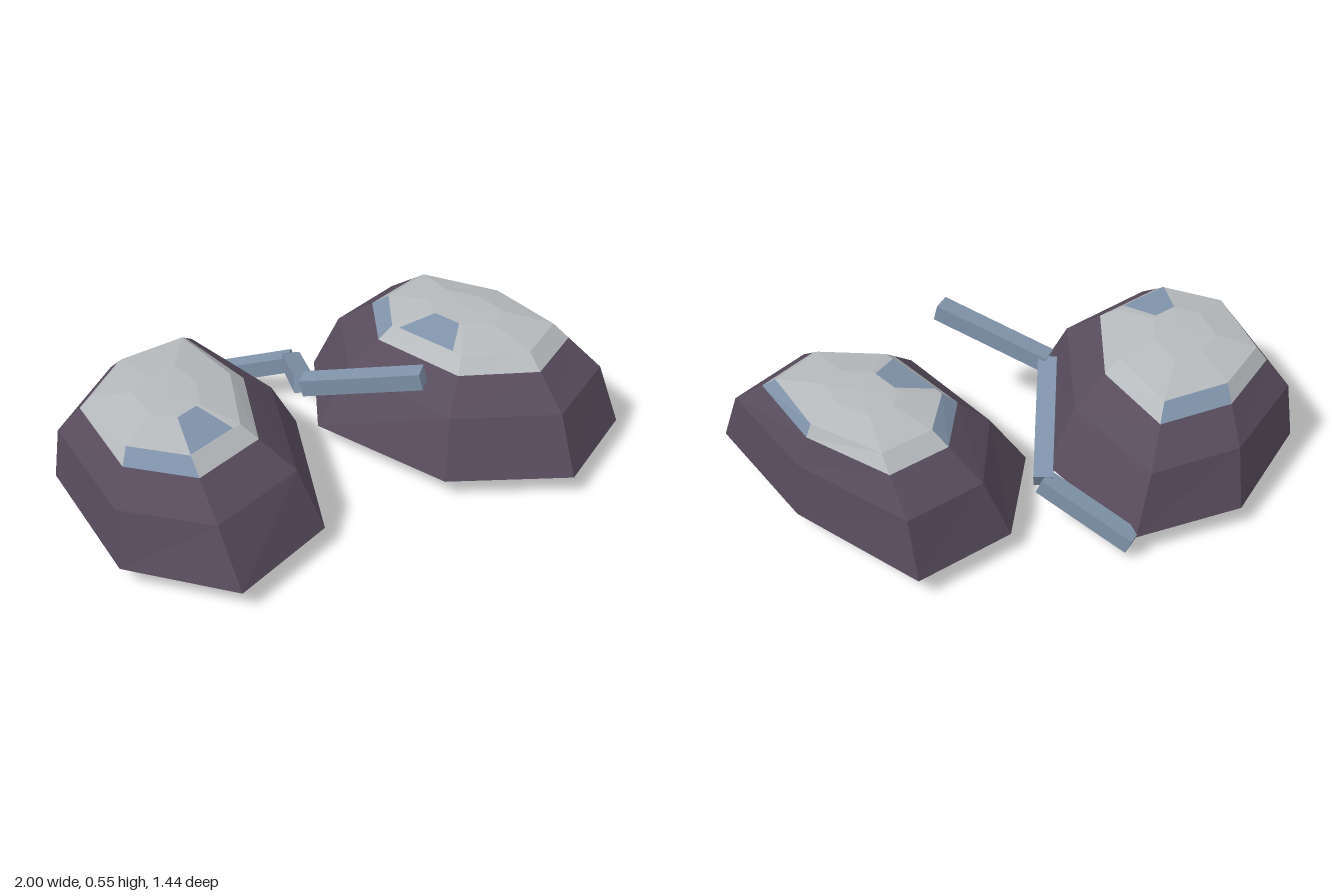
import * as THREE from 'three';

const material = (name, color, flatShading = true) => {
  const m = new THREE.MeshStandardMaterial({ color, flatShading });
  m.name = name;
  return m;
};

const lerp = (a, b, t) => a.clone().lerp(b, t);
const ringAt = (points, y) => points.map(([x, z]) => new THREE.Vector3(x, y, z));
const scaled = (ring, cx, cz, s, y) =>
  ring.map(p => new THREE.Vector3(cx + (p.x - cx) * s, y, cz + (p.z - cz) * s));

// Builds a flat-sided mesh from a list of convex faces (corners counterclockwise from outside)
function faceMesh(name, faces, mat) {
  const pos = [];
  for (const f of faces)
    for (let i = 1; i < f.length - 1; i++)
      for (const p of [f[0], f[i], f[i + 1]]) pos.push(p.x, p.y, p.z);
  const geo = new THREE.BufferGeometry();
  geo.setAttribute('position', new THREE.Float32BufferAttribute(pos, 3));
  geo.computeVertexNormals();
  const mesh = new THREE.Mesh(geo, mat);
  mesh.name = name;
  return mesh;
}

// Quads joining two rings
const band = (low, high) => low.map((p, i) => {
  const j = (i + 1) % low.length;
  return [p, low[j], high[j], high[i]];
});

function rock(name, spec, mats) {
  const group = new THREE.Group();
  group.name = name;
  const [cx, cz] = spec.base;
  const [tx, tz] = spec.top;
  const wide = ringAt(spec.wide, 0.08);
  const base = scaled(wide, cx, cz, spec.baseScale, 0);
  const shoulder = ringAt(spec.shoulder, 0.295);
  const rim = ringAt(spec.rim, 0.45);
  const snowLine = shoulder.map((p, i) => lerp(p, rim[i], 0.677));
  const crown = scaled(rim, tx, tz, 0.45, 0.48);
  const peak = new THREE.Vector3(tx, 0.484, tz);

  // Dark body
  group.add(faceMesh('rockBody', [
    [...base].reverse(), ...band(base, wide), ...band(wide, shoulder), ...band(shoulder, snowLine),
  ], mats.stone));

  // Pale cap with a few blue facets around its edge
  const edge = band(snowLine, rim);
  group.add(faceMesh('paleCap', [
    ...edge.filter((f, i) => !spec.blue.includes(i)),
    ...band(rim, crown),
    ...crown.map((p, i) => [p, crown[(i + 1) % crown.length], peak]),
  ], mats.pale));
  group.add(faceMesh('blueFacets', spec.blue.map(i => edge[i]), mats.blue));

  // Blue patch on one sloping cap facet
  const [a, b, c, d] = band(rim, crown)[spec.patch];
  const [u, v] = spec.patchSpan;
  const patch = [lerp(a, b, u), lerp(a, b, v), lerp(d, c, v), lerp(d, c, u)];
  patch.forEach(p => { p.y += 0.003; });
  group.add(faceMesh('bluePatch', [patch], mats.blue));
  return group;
}

// Square bar between two points
function bar(name, from, to, mat) {
  const a = new THREE.Vector3(...from), b = new THREE.Vector3(...to);
  const mesh = new THREE.Mesh(new THREE.BoxGeometry(0.07, 0.065, a.distanceTo(b)), mat);
  mesh.position.copy(a).add(b).multiplyScalar(0.5);
  mesh.lookAt(b);
  mesh.name = name;
  return mesh;
}

export function createModel() {
  const model = new THREE.Group();
  model.name = 'linkedRocks';
  const mats = {
    stone: material('darkPurpleStone', 0x584c5d),
    pale: material('paleGrey', 0xb6babd),
    blue: material('slateBlue', 0x8093aa),
  };

  model.add(rock('rightRock', {
    wide: [[-0.51, -0.72], [-0.915, -0.435], [-1, 0.16], [-0.73, 0.52], [-0.295, 0.405], [0, -0.18], [-0.09, -0.685]],
    shoulder: [[-0.535, -0.645], [-0.9, -0.41], [-0.97, 0.11], [-0.735, 0.39], [-0.34, 0.3], [-0.12, -0.17], [-0.18, -0.625]],
    rim: [[-0.585, -0.465], [-0.8, -0.325], [-0.85, 0], [-0.7, 0.18], [-0.46, 0.13], [-0.315, -0.15], [-0.325, -0.455]],
    base: [-0.43, -0.1], baseScale: 0.79, top: [-0.59, -0.14],
    blue: [2, 6], patch: 3, patchSpan: [0, 0.85],
  }, mats));

  model.add(rock('leftRock', {
    wide: [[0.69, -0.54], [0.295, -0.465], [0.05, -0.105], [0.22, 0.455], [0.62, 0.72], [1, 0.55], [0.93, -0.015]],
    shoulder: [[0.69, -0.465], [0.37, -0.4], [0.19, -0.09], [0.29, 0.385], [0.64, 0.61], [0.97, 0.465], [0.91, -0.01]],
    rim: [[0.69, -0.265], [0.48, -0.225], [0.36, -0.05], [0.44, 0.265], [0.66, 0.395], [0.86, 0.305], [0.845, 0]],
    base: [0.54, 0.13], baseScale: 0.77, top: [0.63, 0.05],
    blue: [1, 5], patch: 2, patchSpan: [0.1, 0.87],
  }, mats));

  // Zigzag of bars climbing between the rocks
  const joints = [[-0.08, 0.06, -0.68], [0.125, 0.2, -0.385], [-0.1, 0.405, 0.01], [0.175, 0.515, 0.36]];
  for (let i = 0; i < 3; i++)
    model.add(bar('zigzagBar' + (i + 1), joints[i], joints[i + 1], mats.blue));

  return model;
}
